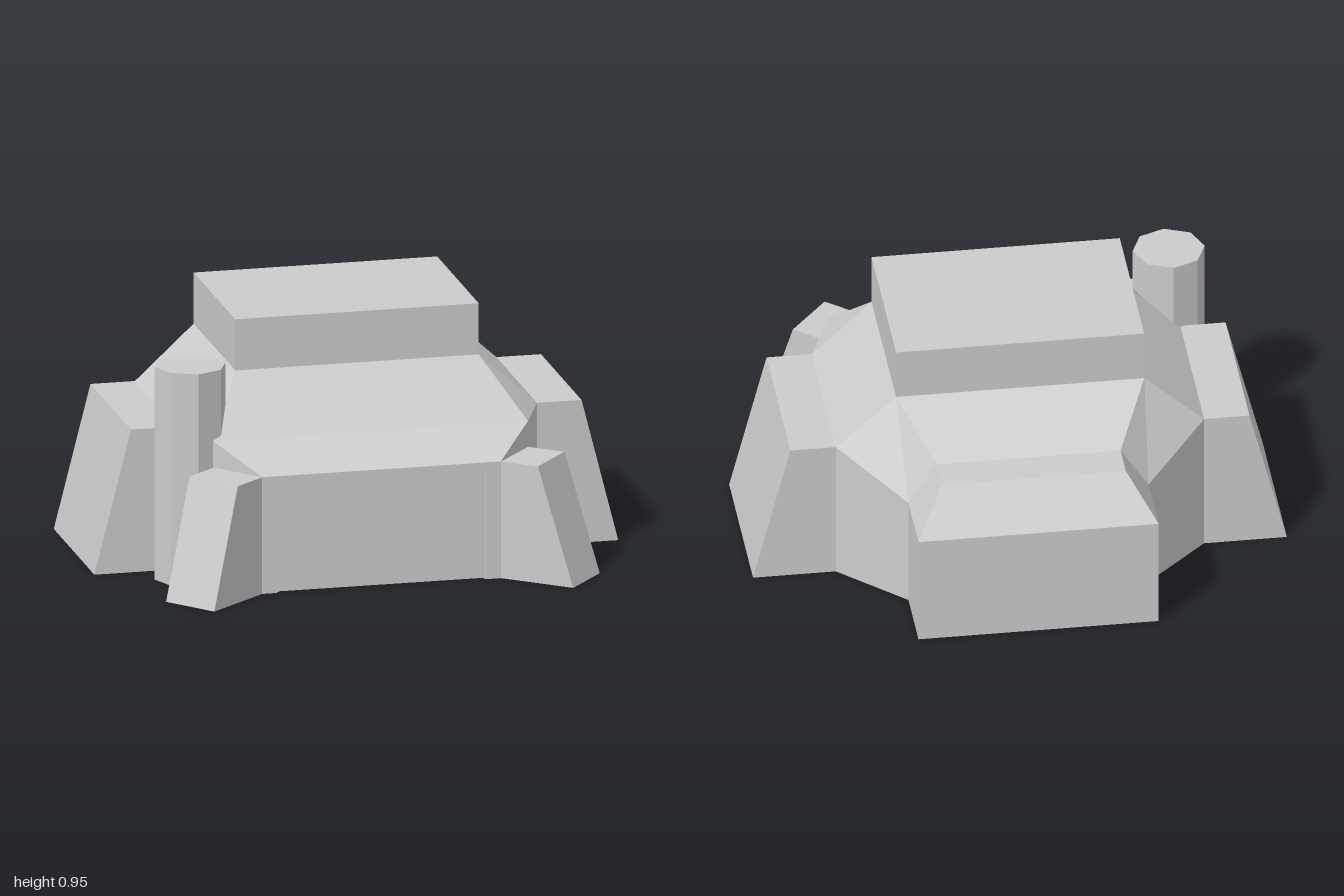
import * as THREE from 'three';

const material = new THREE.MeshStandardMaterial({ color: 0xcccccc, flatShading: true });

function add(group, name, geometry, x = 0, y = 0, z = 0) {
  const mesh = new THREE.Mesh(geometry, material);
  mesh.name = name;
  mesh.position.set(x, y, z);
  group.add(mesh);
  return mesh;
}

// Flat polygons of the +x half, fanned into triangles and mirrored to -x
function mirroredFaces(faces) {
  const positions = [];
  for (const face of faces) {
    for (let i = 1; i < face.length - 1; i++) {
      const tri = [face[0], face[i], face[i + 1]];
      for (const p of tri) positions.push(...p);
      for (const [x, y, z] of tri.reverse()) positions.push(-x, y, z);
    }
  }
  const geometry = new THREE.BufferGeometry();
  geometry.setAttribute('position', new THREE.Float32BufferAttribute(positions, 3));
  geometry.computeVertexNormals();
  return geometry;
}

// Block with a sloping outer face: local x points away from the wall
function buttressGeometry(foot, top, height, width) {
  const profile = new THREE.Shape([
    new THREE.Vector2(0, 0), new THREE.Vector2(foot, 0),
    new THREE.Vector2(top, height), new THREE.Vector2(0, height),
  ]);
  return new THREE.ExtrudeGeometry(profile, { depth: width, bevelEnabled: false }).translate(0, 0, -width / 2);
}

export function createModel() {
  const group = new THREE.Group();

  // Corners along the top of the wall, from the front round to the back
  const front = [0.455, 0.45, 0.67];
  const shoulder = [0.6, 0.55, 0.5];
  const sideFront = [0.69, 0.55, 0.27];
  const sideBack = [0.69, 0.55, -0.37];
  const neck = [0.45, 0.43, -0.6];
  const rear = [0.45, 0.43, -0.87];
  const wallTop = [front, shoulder, sideFront, sideBack, neck, rear, [0, 0.43, -0.87]];
  const ground = ([x, , z]) => [x, 0, z];

  // Upper roof corners
  const roofFront = [0.465, 0.755, 0.28];
  const roofBack = [0.465, 0.755, -0.375];
  const annexFront = [0.345, 0.59, -0.6];
  const annexBack = [0.345, 0.59, -0.74];
  const mid = ([, y, z]) => [0, y, z];

  // Walls
  const walls = [];
  for (let i = 0; i < wallTop.length - 1; i++) {
    const a = wallTop[i], b = wallTop[i + 1];
    walls.push([ground(a), ground(b), b, a]);
  }
  add(group, 'walls', mirroredFaces(walls));

  // Front frame around the recessed door
  const dx = 0.4, dy = 0.42, zf = 0.67, zd = 0.65;
  add(group, 'doorFrame', mirroredFaces([
    [[dx, 0, zf], ground(front), front, [dx, dy, zf]],
    [[0, dy, zf], [dx, dy, zf], front, mid(front)],
    [[dx, 0, zd], [dx, 0, zf], [dx, dy, zf], [dx, dy, zd]],
    [[0, dy, zf], [0, dy, zd], [dx, dy, zd], [dx, dy, zf]],
  ]));
  add(group, 'door', mirroredFaces([[[0, 0, zd], [dx, 0, zd], [dx, dy, zd], [0, dy, zd]]]));

  // Sloping roof
  add(group, 'roof', mirroredFaces([
    [mid(front), front, shoulder, mid(shoulder)],
    [mid(shoulder), shoulder, roofFront, mid(roofFront)],
    [shoulder, sideFront, roofFront],
    [sideFront, sideBack, roofBack, roofFront],
    [sideBack, neck, roofBack],
    [neck, annexFront, roofBack],
    [annexFront, mid(annexFront), mid(roofBack), roofBack],
  ]));

  // Chamfered roof of the rear annex
  add(group, 'annexRoof', mirroredFaces([
    [annexFront, annexBack, mid(annexBack), mid(annexFront)],
    [neck, rear, annexBack, annexFront],
    [rear, mid(rear), mid(annexBack), annexBack],
  ]));

  // Underside
  const outline = [[0, 0, zd], [dx, 0, zd], [dx, 0, zf], ...wallTop.map(ground)];
  add(group, 'floor', mirroredFaces(
    outline.slice(1).map((p, i) => [[0, 0, 0], p, outline[i]])
  ));

  // Block on top
  add(group, 'topBlock', new THREE.BoxGeometry(0.93, 0.197, 0.655), 0, 0.8535, -0.0475);

  // Side wings and angled front buttresses
  const wing = buttressGeometry(0.31, 0.17, 0.55, 0.64);
  const buttress = buttressGeometry(0.298, 0.152, 0.45, 0.223);
  for (const [side, label] of [[1, 'left'], [-1, 'right']]) {
    const turn = side > 0 ? 0 : Math.PI;
    add(group, label + 'Wing', wing, side * 0.69, 0, -0.05).rotation.y = turn;
    add(group, label + 'Buttress', buttress, side * 0.5275, 0, 0.585).rotation.y = turn - side * 0.695;
  }

  // Chimney
  add(group, 'chimney', new THREE.CylinderGeometry(0.135, 0.135, 0.82, 8), -0.663, 0.41, 0.387);

  return group;
}
